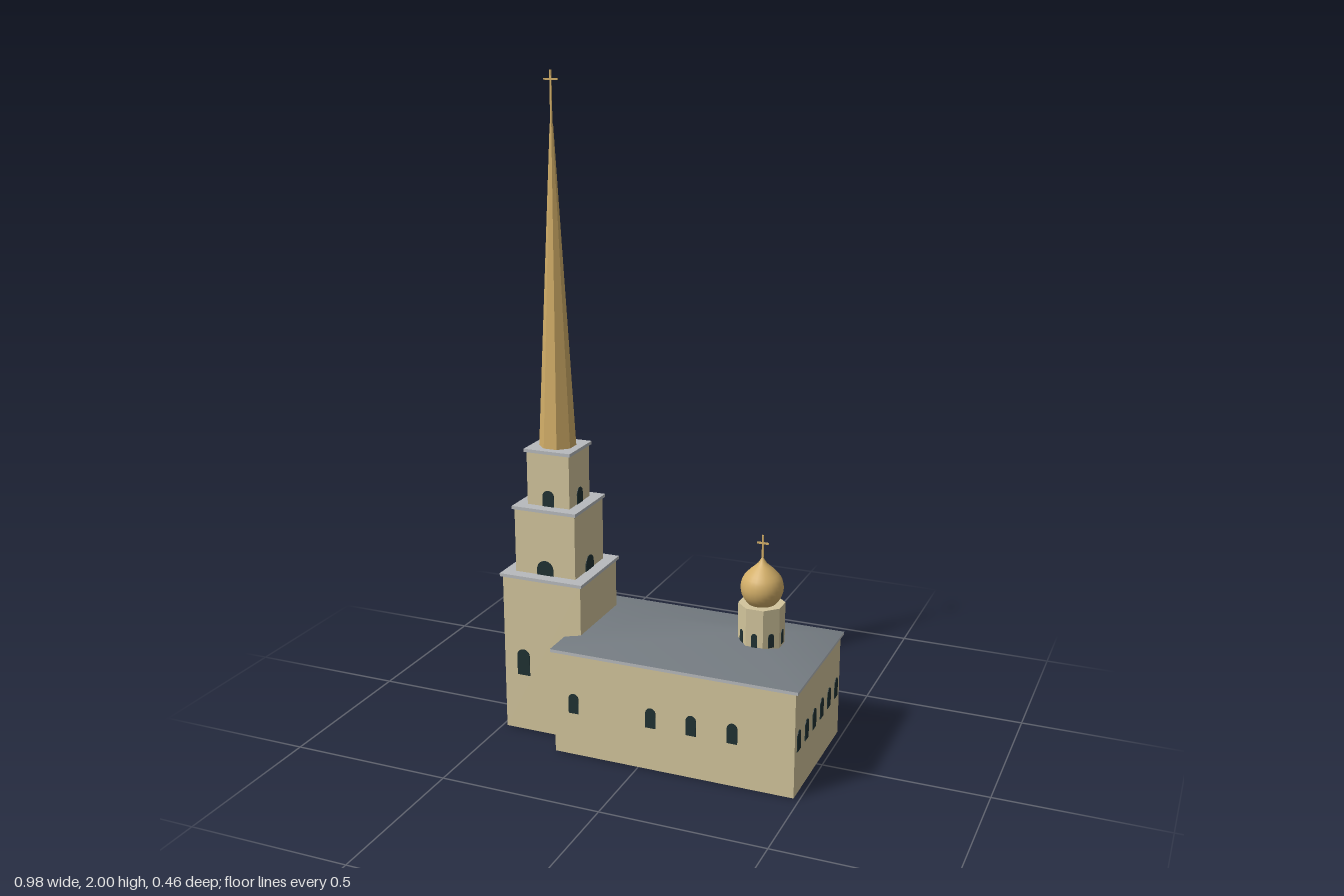
import * as THREE from 'three';

const mat = (name, color, extra = {}) => {
  const m = new THREE.MeshStandardMaterial({ color, ...extra });
  m.name = name;
  return m;
};

export function createModel() {
  const wall = mat('cream plaster', 0xd2c59c, { side: THREE.DoubleSide });
  const trim = mat('pale grey cornice', 0xb8babd);
  const roofMat = mat('slate roof', 0x747b81);
  const gold = mat('gold', 0xd2ae68);
  const goldFlat = mat('gold faceted', 0xd2ae68, { flatShading: true });
  const wallFlat = mat('cream plaster faceted', 0xd2c59c, { flatShading: true });
  const glass = mat('dark window', 0x203133, { side: THREE.DoubleSide });

  const model = new THREE.Group();
  model.name = 'church';

  function add(parent, name, geo, material, x = 0, y = 0, z = 0) {
    const mesh = new THREE.Mesh(geo, material);
    mesh.name = name;
    mesh.position.set(x, y, z);
    parent.add(mesh);
    return mesh;
  }

  // Four walls without floor or ceiling, standing on y
  function walls(parent, name, w, h, d, x, y) {
    const geo = new THREE.BoxGeometry(w, h, d);
    const idx = Array.from(geo.index.array);
    idx.splice(12, 12);
    geo.clearGroups();
    geo.setIndex(idx);
    add(parent, name, geo, wall, x, y + h / 2, 0);
  }

  // Thin round-topped window plate; angle turns its face from +z
  function archWindow(parent, w, h, x, y, z, angle) {
    const r = w / 2;
    const s = new THREE.Shape();
    s.moveTo(-r, 0);
    s.lineTo(r, 0);
    s.lineTo(r, h - r);
    s.absarc(0, h - r, r, 0, Math.PI, false);
    s.lineTo(-r, 0);
    const geo = new THREE.ExtrudeGeometry(s, { depth: 0.004, bevelEnabled: false, curveSegments: 6 });
    geo.translate(0, 0, -0.002);
    add(parent, 'window', geo, glass, x, y, z).rotation.y = angle;
  }

  // Window on a side of a centred body, offset along that side
  function sideWindow(parent, cx, dist, offset, angle, w, h, y) {
    const s = Math.sin(angle), c = Math.cos(angle);
    archWindow(parent, w, h, cx + s * dist + c * offset, y, c * dist - s * offset, angle);
  }

  // Slim cross on a rod
  function cross(parent, x, y0, y1, barY, barW) {
    add(parent, 'crossRod', new THREE.BoxGeometry(0.005, y1 - y0, 0.005), gold, x, (y0 + y1) / 2, 0);
    add(parent, 'crossBar', new THREE.BoxGeometry(barW, 0.005, 0.005), gold, x, barY, 0);
  }

  // Bell tower: three stepped tiers
  const tower = new THREE.Group();
  tower.name = 'bellTower';
  model.add(tower);
  const tx = -0.356;
  const tiers = [
    { w: 0.26, y0: 0, y1: 0.51, cornice: 0.274, win: [0.042, 0.085, 0.183], offsets: [-0.066, 0.066] },
    { w: 0.2, y0: 0.51, y1: 0.72, cornice: 0.212, win: [0.054, 0.046, 0.51], offsets: [0] },
    { w: 0.14, y0: 0.72, y1: 0.895, cornice: 0.153, win: [0.038, 0.05, 0.72], offsets: [0] },
  ];
  for (const t of tiers) {
    walls(tower, 'towerTier', t.w, t.y1 - t.y0 - 0.005, t.w, tx, t.y0);
    add(tower, 'towerCornice', new THREE.BoxGeometry(t.cornice, 0.01, t.cornice), trim, tx, t.y1 - 0.005, 0);
    for (let i = 0; i < 4; i++) {
      for (const o of t.offsets) {
        sideWindow(tower, tx, t.w / 2, o, i * Math.PI / 2, ...t.win);
      }
    }
  }

  // Eight-sided spire and its cross
  const spire = add(tower, 'spire', new THREE.CylinderGeometry(0.005, 0.056, 0.955, 8), goldFlat, tx, 1.3725, 0);
  spire.rotation.y = Math.PI / 8;
  cross(tower, tx, 1.84, 2, 1.974, 0.045);

  // Nave
  const nave = new THREE.Group();
  nave.name = 'nave';
  model.add(nave);
  const nx = 0.105, hw = 0.377, hd = 0.221;
  walls(nave, 'naveWalls', hw * 2, 0.328, hd * 2, nx, 0);
  add(nave, 'naveCornice', new THREE.BoxGeometry(0.77, 0.01, 0.456), trim, nx, 0.329, 0);
  const naveWin = [0.032, 0.063, 0.135];
  for (const x of [-0.209, 0.04, 0.167, 0.294]) {
    sideWindow(nave, nx, hd, x - nx, 0, ...naveWin);
    sideWindow(nave, nx, hd, nx - x, Math.PI, ...naveWin);
  }
  sideWindow(nave, nx, hd, nx - 0.415, Math.PI, ...naveWin);
  for (let i = 0; i < 6; i++) {
    sideWindow(nave, nx, hw, (i - 2.5) * 0.074, Math.PI / 2, ...naveWin);
  }
  for (const o of [-0.175, 0.175]) sideWindow(nave, nx, hw, o, -Math.PI / 2, ...naveWin);

  // Low hipped roof: four eave corners and two ridge ends
  const roof = new THREE.BufferGeometry();
  const ex = 0.386, ez = 0.229, rx = ex - ez;
  roof.setAttribute('position', new THREE.Float32BufferAttribute([
    -ex, 0, ez, ex, 0, ez, ex, 0, -ez, -ex, 0, -ez, -rx, 0.052, 0, rx, 0.052, 0,
  ], 3));
  roof.setIndex([0, 1, 5, 0, 5, 4, 1, 2, 5, 2, 3, 4, 2, 4, 5, 3, 0, 4]);
  roof.computeVertexNormals();
  add(nave, 'roof', roof, roofMat, nx, 0.334, 0);

  // Drum, onion dome and cross
  const cupola = new THREE.Group();
  cupola.name = 'cupola';
  model.add(cupola);
  const cx = 0.302, apothem = 0.064;
  const drum = add(cupola, 'drum',
    new THREE.CylinderGeometry(apothem / Math.cos(Math.PI / 8), apothem / Math.cos(Math.PI / 8), 0.14, 8),
    wallFlat, cx, 0.418, 0);
  drum.rotation.y = Math.PI / 8;
  for (let i = 0; i < 8; i++) {
    sideWindow(cupola, cx, apothem, 0, i * Math.PI / 4, 0.018, 0.043, 0.37);
  }
  const profile = new THREE.SplineCurve([
    [0.04, 0.486], [0.056, 0.507], [0.0635, 0.535], [0.057, 0.565],
    [0.036, 0.59], [0.016, 0.608], [0.006, 0.622], [0.0001, 0.635],
  ].map(([r, y]) => new THREE.Vector2(r, y)));
  add(cupola, 'onionDome', new THREE.LatheGeometry(profile.getPoints(20), 24), gold, cx, 0, 0);
  cross(cupola, cx, 0.62, 0.697, 0.672, 0.036);

  return model;
}
